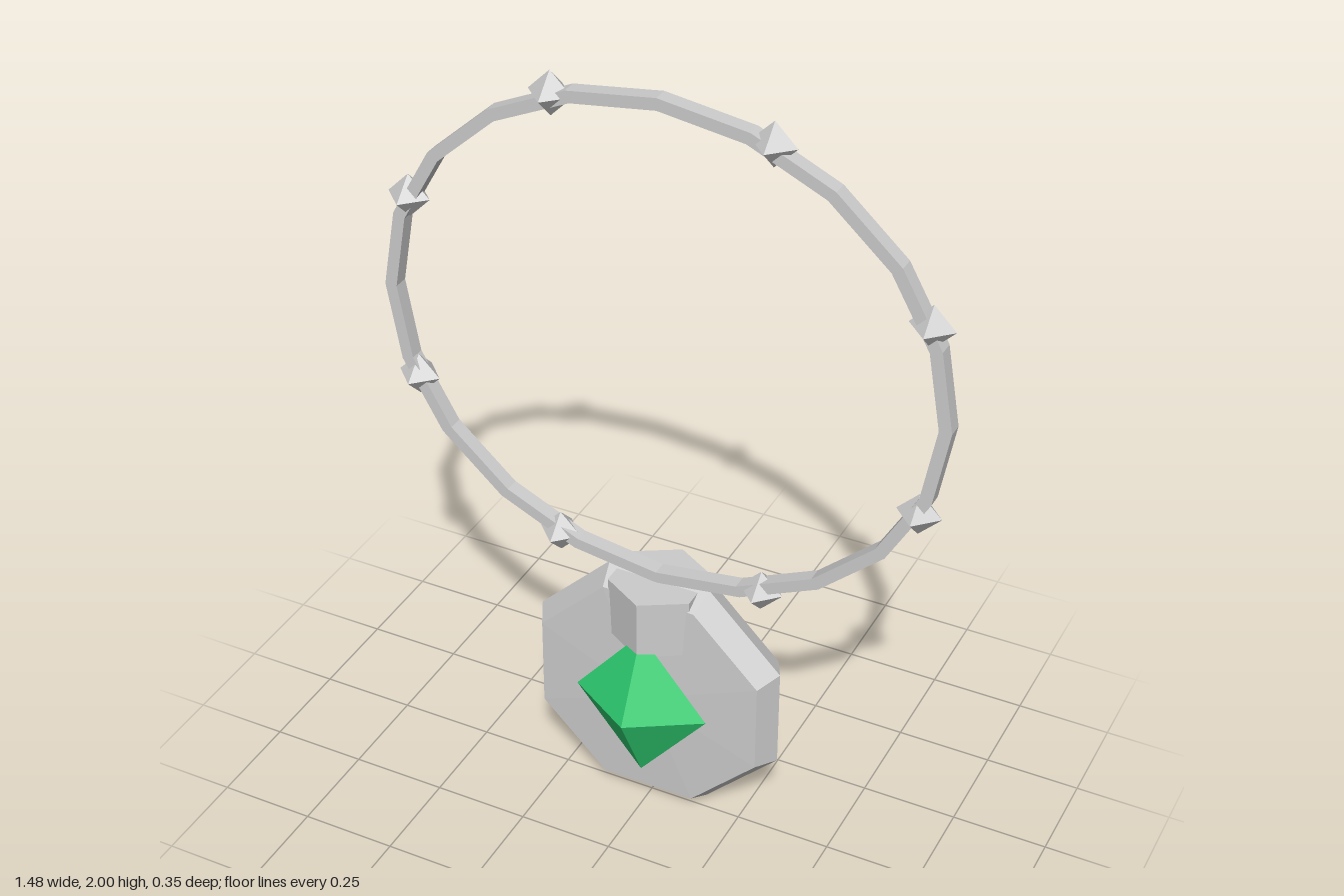
import * as THREE from 'three';

const grey = new THREE.MeshStandardMaterial({ color: 0xcccccc, flatShading: true });
const green = new THREE.MeshStandardMaterial({ color: 0x2ecc71, flatShading: true });
const Z = -0.04; // plane of the ring and medallion
const RING_Y = 1.333;

function add(parent, name, geometry, material, x, y, z) {
  const mesh = new THREE.Mesh(geometry, material);
  mesh.name = name;
  mesh.position.set(x, y, z);
  parent.add(mesh);
  return mesh;
}

// Points of a 20-sided ellipse
function ellipse(rx, ry) {
  return Array.from({ length: 20 }, (_, i) => {
    const a = (i / 20) * Math.PI * 2;
    return new THREE.Vector2(Math.cos(a) * rx, Math.sin(a) * ry);
  });
}

export function createModel() {
  const model = new THREE.Group();
  model.name = 'necklace';

  // Band: oval ring with a square section
  const band = new THREE.Shape(ellipse(0.74, 0.667));
  band.holes.push(new THREE.Path(ellipse(0.708, 0.636).reverse()));
  const bandGeometry = new THREE.ExtrudeGeometry(band, { depth: 0.04, bevelEnabled: false });
  bandGeometry.translate(0, 0, -0.02);
  add(model, 'band', bandGeometry, grey, 0, RING_Y, Z);

  // Eight diamond beads spaced around the band
  const beads = new THREE.Group();
  beads.name = 'beads';
  const beadGeometry = new THREE.OctahedronGeometry(0.057);
  for (let i = 0; i < 8; i++) {
    const a = ((i + 0.5) / 8) * Math.PI * 2;
    add(beads, 'bead', beadGeometry, grey, Math.cos(a) * 0.724, RING_Y + Math.sin(a) * 0.66, Z);
  }
  model.add(beads);

  // Medallion: eight-sided disc with bevelled rim and slightly domed faces
  const profile = [[0, -0.077], [0.328, -0.065], [0.364, 0], [0.328, 0.065], [0, 0.077]]
    .map(([r, h]) => new THREE.Vector2(r, h));
  const disc = new THREE.LatheGeometry(profile, 8, Math.PI / 8);
  disc.rotateX(Math.PI / 2);
  add(model, 'medallion', disc, grey, 0, 0.337, Z);

  // Hanger: six-sided block, points to front and back
  add(model, 'hanger', new THREE.CylinderGeometry(0.13, 0.13, 0.162, 6), grey, 0, 0.586, Z - 0.003);

  // Gem: stretched octahedron
  const gem = add(model, 'gem', new THREE.OctahedronGeometry(1), green, 0, 0.34, 0.064);
  gem.scale.set(0.182, 0.22, 0.11);

  return model;
}
